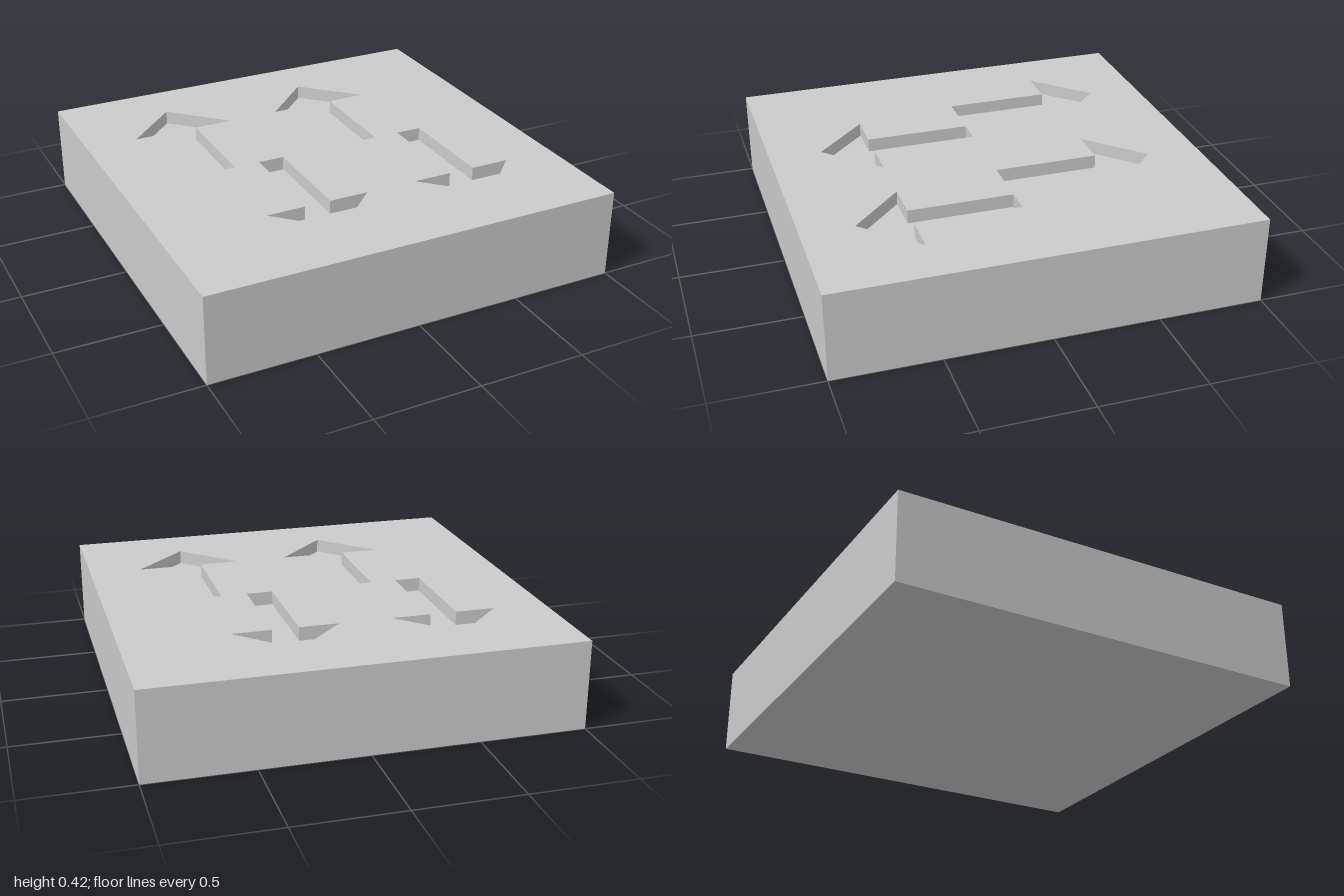
import * as THREE from 'three';
import { mergeGeometries } from 'three/addons/utils/BufferGeometryUtils.js';

const HEIGHT = 0.422, DEPTH = 0.065, FLOOR = HEIGHT - DEPTH;

// Outlines are counter-clockwise, seen from above, as (x, -z)
const square = [[-1, -1], [1, -1], [1, 1], [-1, 1]].map(p => new THREE.Vector2(...p));
const arrow = [[0.0625, 0], [0.0625, 0.5], [0.25, 0.5], [0, 0.75], [-0.25, 0.5], [-0.0625, 0.5], [-0.0625, 0]];

// dir = 1 points to the back, -1 to the front
const arrowAt = (x, dir) => arrow.map(([u, v]) => new THREE.Vector2(x + u * dir, v * dir));

// Horizontal face at height y
function flat(shape, y) {
  return new THREE.ShapeGeometry(shape).rotateX(-Math.PI / 2).translate(0, y, 0);
}

// Upright walls along a closed outline, facing its right-hand side
function walls(outline, y0, y1) {
  return mergeGeometries(outline.map((a, i) => {
    const b = outline[(i + 1) % outline.length];
    return new THREE.PlaneGeometry(a.distanceTo(b), y1 - y0)
      .rotateY(Math.atan2(b.y - a.y, b.x - a.x))
      .translate((a.x + b.x) / 2, (y0 + y1) / 2, -(a.y + b.y) / 2);
  }));
}

export function createModel() {
  const group = new THREE.Group();
  const material = new THREE.MeshStandardMaterial({ color: 0xcccccc, flatShading: true });
  const add = (name, geometry) => {
    const mesh = new THREE.Mesh(geometry, material);
    mesh.name = name;
    group.add(mesh);
  };

  const arrows = [[-0.5, 1], [0.25, 1], [-0.25, -1], [0.5, -1]].map(([x, dir]) => arrowAt(x, dir));

  // Block: top pierced by the arrows, four sides, underside
  const top = new THREE.Shape(square);
  top.holes = arrows.map(points => new THREE.Path([...points].reverse()));
  add('blockTop', flat(top, HEIGHT));
  add('blockSides', walls(square, 0, HEIGHT));
  add('blockUnderside', new THREE.PlaneGeometry(2, 2).rotateX(Math.PI / 2));

  // Arrow recesses: floor and inward-facing walls
  arrows.forEach((points, i) => {
    add(`arrowRecess${i + 1}`, mergeGeometries([
      flat(new THREE.Shape(points), FLOOR),
      walls([...points].reverse(), FLOOR, HEIGHT),
    ]));
  });

  return group;
}
